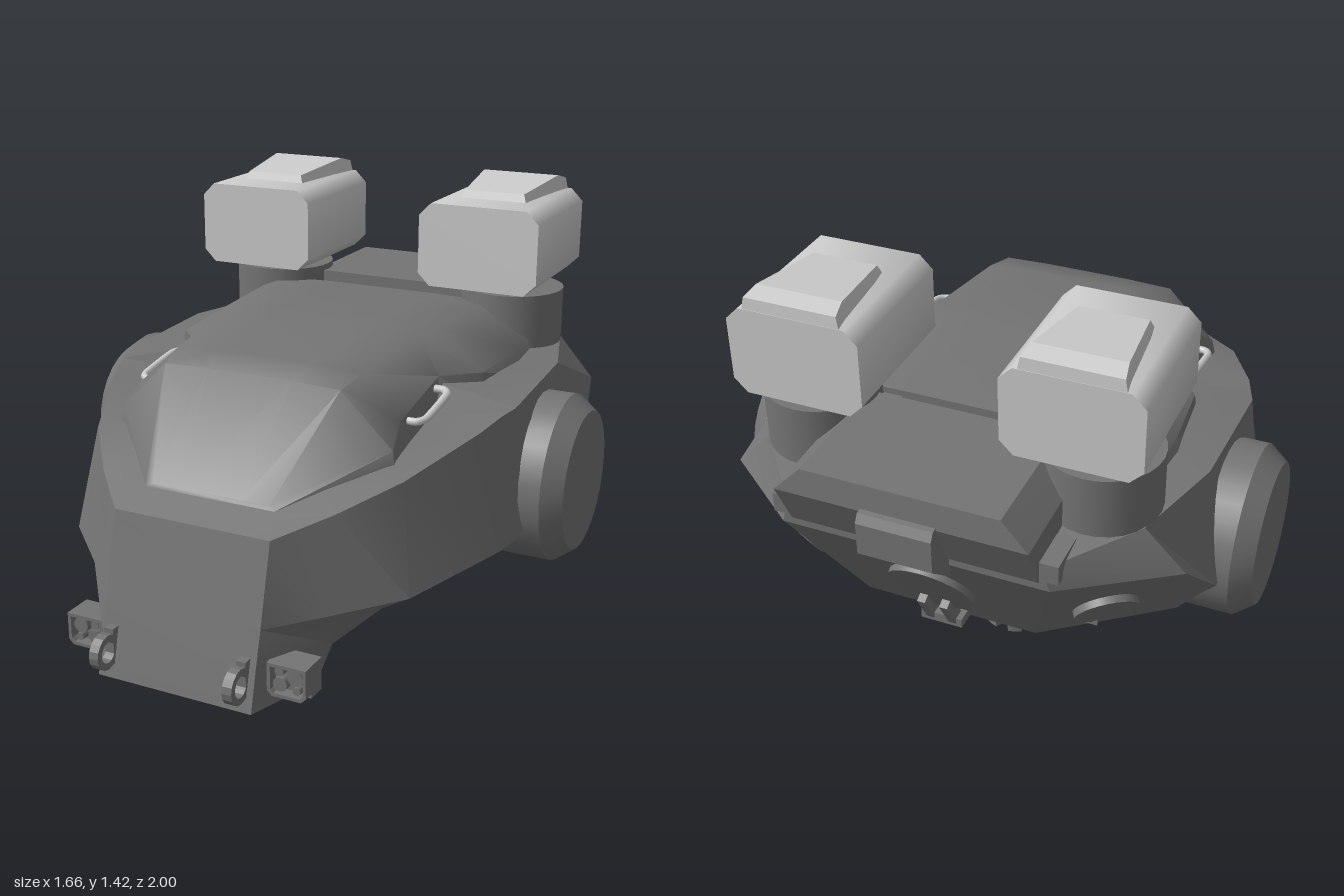
import * as THREE from 'three';
import { toCreasedNormals } from 'three/addons/utils/BufferGeometryUtils.js';

const dark = new THREE.MeshStandardMaterial({ color: 0x747474 });
const light = new THREE.MeshStandardMaterial({ color: 0xcccccc });

// Lofts mirrored half sections (x, y, z; lowest point first) from front to back and caps both ends.
function loft(rings, crease = 0.3) {
  const n = rings[0].length / 3 * 2, pos = [], idx = [];
  for (const r of rings) {
    for (let j = 0; j < n / 2; j++) pos.push(r[j * 3], r[j * 3 + 1], r[j * 3 + 2]);
    for (let j = n / 2 - 1; j >= 0; j--) pos.push(-r[j * 3], r[j * 3 + 1], r[j * 3 + 2]);
  }
  for (let i = 0; i < rings.length - 1; i++) {
    for (let j = 0; j < n; j++) {
      const a = i * n + j, b = i * n + (j + 1) % n, c = b + n, d = a + n;
      idx.push(a, d, b, b, d, c);
    }
  }
  const e = (rings.length - 1) * n;
  for (let j = 0; j < n / 2 - 1; j++) {
    const a = j, b = j + 1, c = n - 2 - j, d = n - 1 - j;
    idx.push(a, b, c, a, c, d, e + a, e + c, e + b, e + a, e + d, e + c);
  }
  const g = new THREE.BufferGeometry();
  g.setAttribute('position', new THREE.Float32BufferAttribute(pos, 3));
  g.setIndex(idx);
  return toCreasedNormals(g, crease);
}

// Turned part from (radius, height) pairs.
function turned(points, sides = 28) {
  return toCreasedNormals(new THREE.LatheGeometry(points.map(p => new THREE.Vector2(...p)), sides), 0.5);
}

// Straight extrusion of a polygon, with an optional polygon hole.
function prism(points, depth, crease, hole) {
  const shape = new THREE.Shape(points.map(p => new THREE.Vector2(...p)));
  if (hole) shape.holes.push(new THREE.Path(hole.map(p => new THREE.Vector2(...p))));
  return toCreasedNormals(new THREE.ExtrudeGeometry(shape, { depth, bevelEnabled: false }), crease);
}

export function createModel() {
  const root = new THREE.Group();
  const add = (name, geo, mat = dark, x = 0, y = 0, z = 0) => {
    const m = new THREE.Mesh(geo, mat);
    m.name = name;
    m.position.set(x, y, z);
    root.add(m);
    return m;
  };
  const box = (name, w, h, d, x, y, z) => add(name, new THREE.BoxGeometry(w, h, d), dark, x, y, z);

  // Hull: belly edge, undercut, lower side edge, outer rim, inner rim (with handle recess)
  add('hull', loft([
    [.25, .18, .93, .25, .30, .90, .25, .41, .87, .25, .65, .81, .20, .69, .71],
    [.33, .18, .69, .35, .32, .70, .39, .42, .73, .38, .70, .675, .31, .735, .60],
    [.36, .29, .65, .43, .38, .62, .56, .44, .57, .51, .76, .51, .43, .78, .47],
    [.40, .27, .20, .48, .385, .20, .70, .47, .22, .63, .835, .24, .41, .79, .36],
    [.40, .27, .11, .48, .39, .11, .715, .475, .14, .66, .86, .14, .41, .82, .085],
    [.40, .27, .05, .48, .39, .05, .72, .48, .08, .68, .87, .08, .42, .91, .06],
    [.62, .42, -.42, .68, .50, -.435, .74, .57, -.45, .67, .89, -.35, .50, .90, -.30],
    [.50, .42, -.51, .60, .59, -.58, .70, .76, -.65, .58, .89, -.66, .42, .90, -.60],
    [.27, .42, -.68, .335, .61, -.79, .40, .80, -.90, .38, .87, -.90, .34, .88, -.86],
  ], 0.42));

  // Canopy: base, shoulder, roof edge, near-centre roof
  add('canopy', loft([
    [.21, .66, .71, .21, .69, .71, .19, .70, .70, .10, .70, .70],
    [.46, .76, .46, .45, .82, .45, .29, .98, .46, .14, .985, .46],
    [.45, .77, .38, .435, .88, .37, .31, 1.0, .35, .15, 1.01, .35],
    [.43, .79, .08, .43, .93, .07, .34, 1.03, .02, .17, 1.045, .00],
    [.54, .83, -.03, .53, .925, -.04, .36, 1.035, -.08, .18, 1.045, -.08],
    [.57, .85, -.30, .55, .93, -.30, .38, 1.035, -.32, .19, 1.04, -.32],
    [.55, .85, -.49, .53, .93, -.49, .38, 1.025, -.49, .19, 1.03, -.49],
  ], 0.8));

  // Raised rear deck with a slot in front of it, and a folded latch plate behind
  add('rearDeck', loft([
    [.37, .80, -.55, .37, .98, -.55, .29, 1.05, -.55],
    [.37, .80, -.89, .37, .97, -.97, .29, 1.05, -.96],
  ]));
  box('slotFloor', .5, .12, .1, 0, .89, -.52);
  add('rearLatch', prism([[.92, .86], [.87, .80], [.90, .76], [1, .85], [1, .95], [.985, .975], [.92, .985]], .22, 0.3),
    dark, -.11).rotation.y = Math.PI / 2;

  // Round hatches lying on the sloped rear panels
  const hatch = (name, r, p, n) => {
    const m = add(name, new THREE.CylinderGeometry(r, r, .04, 24), dark, ...p);
    m.quaternion.setFromUnitVectors(new THREE.Vector3(0, 1, 0), new THREE.Vector3(...n).normalize());
  };
  hatch('rearHatch', .13, [0, .61, -.79], [0, -.5, -.86]);
  for (const x of [-.035, .035]) {
    const prong = box('towProng', .025, .12, .04, x, .495, -.755);
    prong.rotation.x = -.5;
  }
  box('towBase', .13, .03, .06, 0, .44, -.715);

  // Belly collar and fluted post
  add('collar', turned([[0, .20], [.19, .20], [.225, .235], [.225, .46], [0, .46]]), dark, 0, 0, -.17);
  const flutes = [];
  for (let i = 0; i < 32; i++) {
    const a = (i + .5) / 32 * Math.PI * 2, r = i % 4 === 3 ? .075 : .117;
    flutes.push([Math.cos(a) * r, Math.sin(a) * r]);
  }
  add('flutedPost', prism(flutes, .22, 0.3), dark, 0, 0, -.17).rotation.x = -Math.PI / 2;

  // Shared geometry of the paired parts
  const drum = turned([[0, 0], [.265, 0], [.265, .35], [.22, .41], [0, .41]]);
  const podGeo = prism([[-.16, 0], [.16, 0], [.2, .04], [.2, .23], [.16, .27], [-.16, .27], [-.2, .23], [-.2, .04]], .46, 0.9);
  const podCap = loft([
    [.115, 1.36, -.43, .10, 1.40, -.445],
    [.14, 1.36, -.70, .13, 1.425, -.70],
    [.15, 1.36, -.76, .14, 1.41, -.755],
  ]);
  const ring = new THREE.Shape().absarc(0, 0, .053, 0, Math.PI * 2);
  ring.holes.push(new THREE.Path().absarc(0, 0, .032, 0, Math.PI * 2, true));
  const ringGeo = new THREE.ExtrudeGeometry(ring, { depth: .03, bevelEnabled: false, curveSegments: 8 });
  const frameGeo = prism([[-.06, -.035], [-.045, -.05], [.045, -.05], [.06, -.035], [.06, .05], [-.06, .05]], .04, 0.3,
    [[-.05, -.03], [-.05, .04], [.05, .04], [.05, -.03], [.04, -.04], [-.04, -.04]]);

  for (const s of [1, -1]) {
    // Side drum
    add('sideDrum', drum, dark, s * .42, .58, -.17).rotation.z = -s * Math.PI / 2;

    // Turret: pedestal, neck, pod and its cap
    add('podPedestal', new THREE.CylinderGeometry(.17, .17, .25, 28), dark, s * .43, .945, -.575);
    add('podNeck', new THREE.CylinderGeometry(.09, .09, .06, 20), light, s * .41, 1.085, -.53);
    add('podFlange', new THREE.CylinderGeometry(.125, .125, .02, 20), light, s * .41, 1.092, -.53);
    add('pod', podGeo, light, s * .4, 1.105, -.76);
    add('podCap', podCap, light, s * .4);

    // Rear corner pieces and the cheeks beside the slot
    hatch('sideHatch', .095, [s * .48, .59, -.67], [s * .487, -.556, -.673]);
    box('hatchTab', .035, .03, .05, s * .435, .51, -.635);
    box('rearPad', .08, .06, .13, s * .385, .86, -.835);
    box('slotCheek', .15, .18, .1, s * .295, .92, -.52);

    // Grab handle in its recess
    const path = new THREE.CatmullRomCurve3([
      [.42, .865, .31], [.46, .865, .31], [.48, .87, .28], [.48, .895, .13], [.46, .90, .10], [.42, .90, .10],
    ].map(p => new THREE.Vector3(s * p[0], p[1], p[2])), false, 'catmullrom', .3);
    add('grabHandle', new THREE.TubeGeometry(path, 24, .012, 8), light);

    // Nose: lamp cluster and lifting ring
    box('lampBox', .12, .10, .06, s * .33, .27, .81);
    add('lampFrame', frameGeo, dark, s * .33, .27, .835);
    for (const [dx, dy, r] of [[-.025, -.015, .022], [.022, .013, .024], [-.027, .023, .014], [.027, -.025, .012]]) {
      const lamp = add('lamp', new THREE.CylinderGeometry(r, r, .03, 12), dark, s * (.33 + dx), .27 + dy, .85);
      lamp.rotation.x = Math.PI / 2;
    }
    add('liftingRing', ringGeo, dark, s * .215 - .015, .27, .947).rotation.y = Math.PI / 2;
    box('ringFoot', .03, .12, .03, s * .215, .27, .905);

    // Small prongs under the side panel
    for (const x of [.53, .59]) box('sideProng', .018, .09, .05, s * x, .425, .08);
  }
  return root;
}
